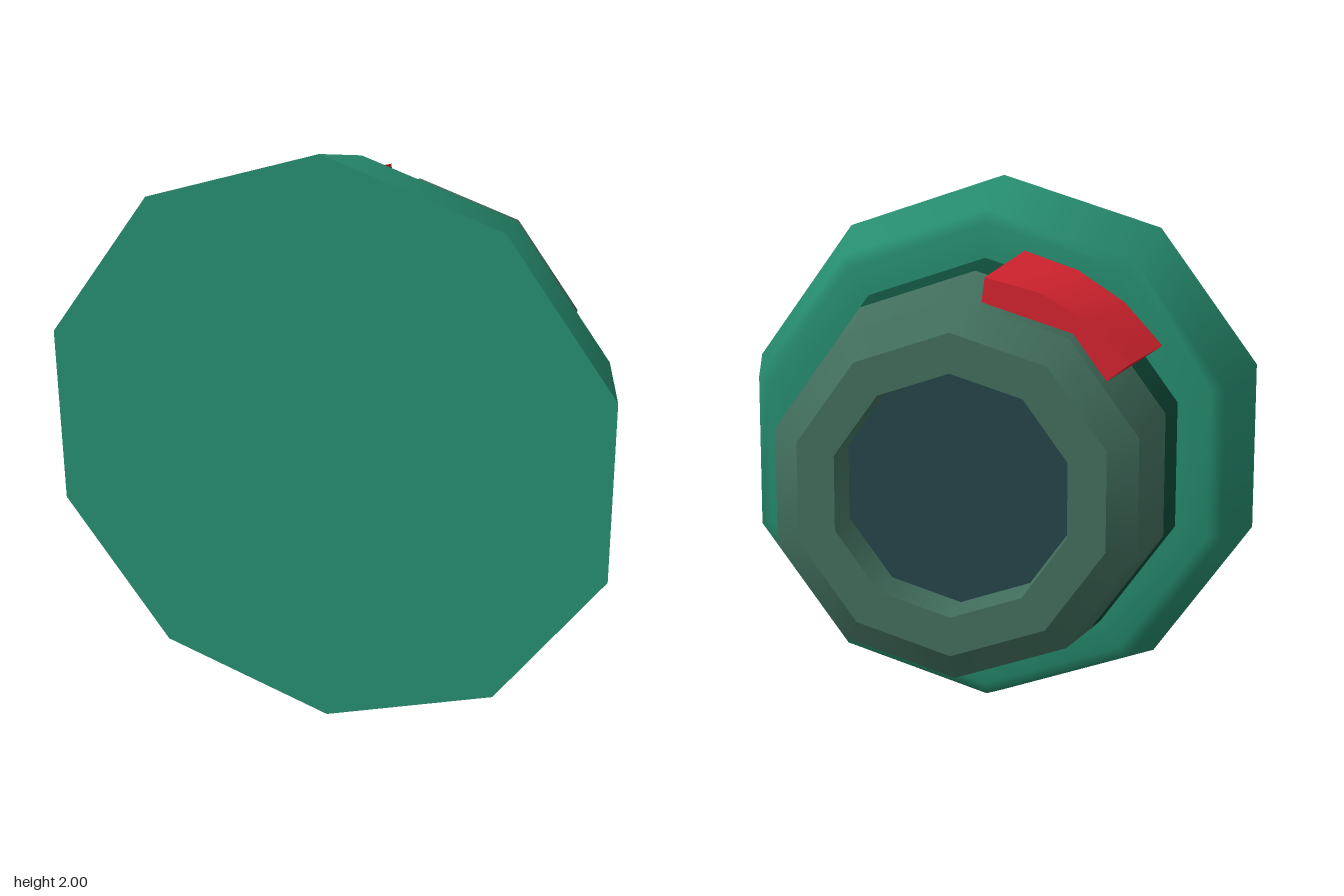
import * as THREE from 'three';

const SIDES = 10;
const AXIS_HEIGHT = 1;

function material(name, color, side = THREE.FrontSide) {
  const m = new THREE.MeshStandardMaterial({ color, side });
  m.name = name;
  return m;
}

// Ten-sided ring surface; profile points are [radius, z], listed from back to front
function ring(name, mat, profile) {
  const points = profile.map(([r, z]) => new THREE.Vector2(r, z));
  const geometry = new THREE.LatheGeometry(points, SIDES);
  geometry.rotateX(Math.PI / 2);
  const mesh = new THREE.Mesh(geometry, mat);
  mesh.name = name;
  mesh.position.y = AXIS_HEIGHT;
  return mesh;
}

// Curved raised tab: a box bent round the barrel, tapering and twisting along z
function bentTab(mat) {
  const geometry = new THREE.BoxGeometry(1, 1, 1, 3, 1, 1);
  const pos = geometry.attributes.position;
  const { lerp, degToRad } = THREE.MathUtils;
  for (let i = 0; i < pos.count; i++) {
    const across = 0.5 - pos.getX(i);
    const along = pos.getZ(i) + 0.5;
    const outer = pos.getY(i) > 0;
    const angle = degToRad(lerp(lerp(7.3, 12, along), lerp(53, 55.5, along), across));
    const r = outer ? lerp(0.7, 0.772, along) : lerp(0.6, 0.66, along);
    pos.setXYZ(i, -r * Math.sin(angle), r * Math.cos(angle), lerp(-0.415, -0.005, along));
  }
  geometry.computeVertexNormals();
  const mesh = new THREE.Mesh(geometry, mat);
  mesh.name = 'raisedTab';
  mesh.position.y = AXIS_HEIGHT;
  return mesh;
}

export function createModel() {
  const green = material('green', 0x268c6e);
  const darkGreen = material('dark green', 0x0f4a38);
  const greyGreen = material('grey green', 0x426f5e);
  const slate = material('dark slate', 0x26454a);
  const red = material('red', 0xd6242f);

  const model = new THREE.Group();
  model.name = 'flangedBarrel';
  model.add(
    // Recessed socket in the back
    ring('socketFloor', slate, [[0, -0.365], [0.4, -0.365]]),
    ring('socketWall', greyGreen, [[0.4, -0.365], [0.4, -0.565]]),
    ring('barrelRim', greyGreen, [[0.4, -0.565], [0.53, -0.565]]),
    // Tapered barrel
    ring('barrelChamfer', greyGreen, [[0.53, -0.565], [0.63, -0.48]]),
    ring('barrel', greyGreen, [[0.63, -0.48], [0.69, -0.075]]),
    ring('barrelBand', darkGreen, [[0.69, -0.075], [0.72, 0.137]]),
    // Wide flange with a flat front
    ring('flange', green, [[0.7, 0.135], [0.84, 0.135], [0.89, 0.17], [1, 0.565]]),
    ring('flangeFace', green, [[1, 0.565], [0, 0.565]]),
    bentTab(red)
  );
  return model;
}
